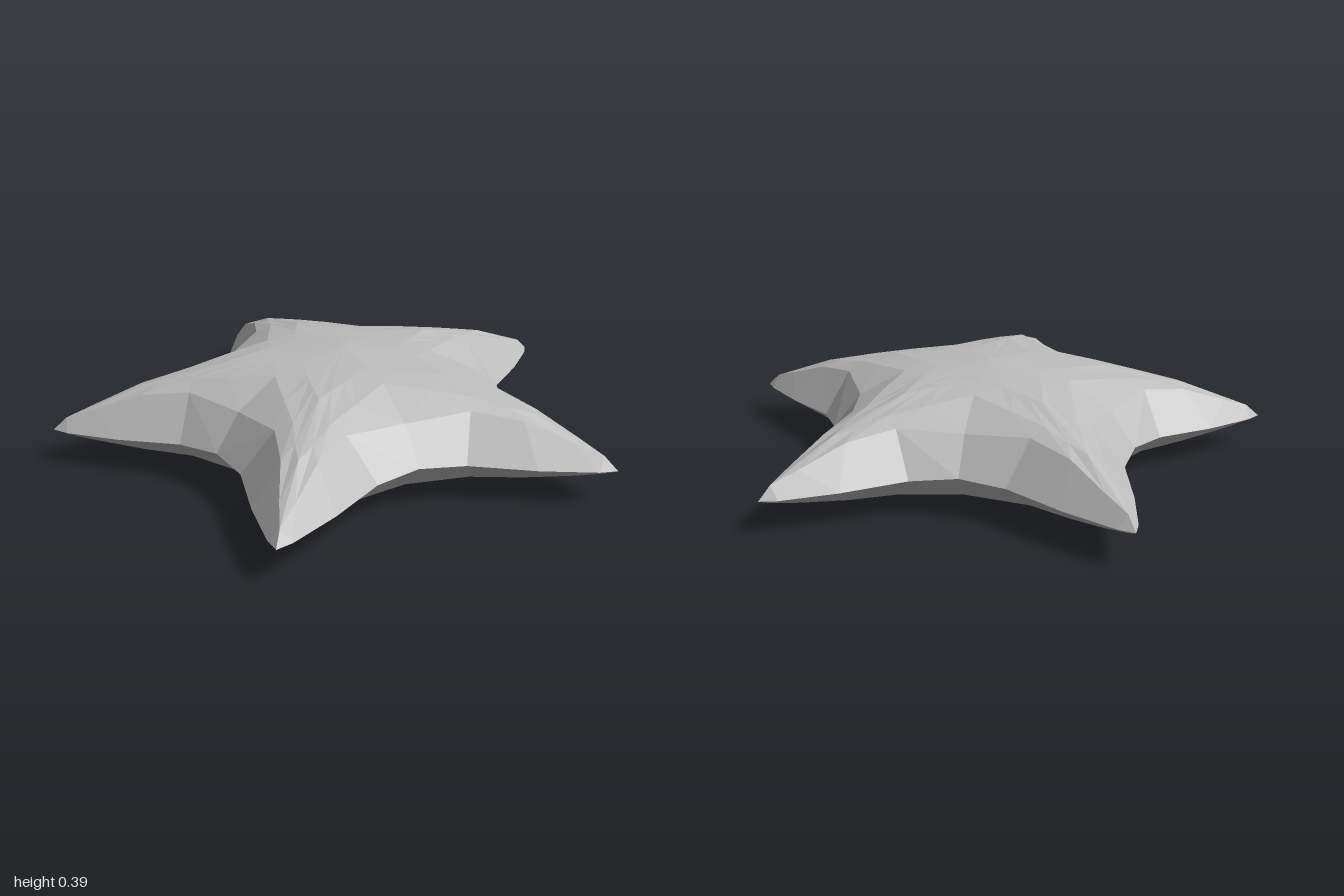
import * as THREE from 'three';

const CENTRE_Z = 0.09;

// Rings from rim to middle, over half an arm (ridge to valley).
// Each point: [along arm, sideways, upper height, lower height]
const RINGS = [
  [[1.05, 0, 0.12, 0.12], [1.0, 0.04, 0.12, 0.12], [0.82, 0.135, 0.125, 0.125], [0.6, 0.23, 0.135, 0.135], [0.477, 0.347, 0.145, 0.145]],
  [[1.0, 0, 0.165, 0.1], [0.9, 0.025, 0.2, 0.08], [0.73, 0.06, 0.26, 0.05], [0.56, 0.12, 0.285, 0.04], [0.396, 0.288, 0.27, 0.045]],
  [[0.74, 0, 0.27, 0.04], [0.66, 0.03, 0.287, 0.03], [0.55, 0.06, 0.312, 0.02], [0.42, 0.12, 0.333, 0.015], [0.26, 0.19, 0.355, 0.02]],
  [[0.42, 0, 0.35, 0], [0.36, 0.03, 0.357, 0.005], [0.3, 0.06, 0.362, 0.01], [0.25, 0.08, 0.366, 0.01], [0.16, 0.117, 0.373, 0.012]],
];
const ARMS = 5, STEPS = 8, COUNT = ARMS * STEPS;

// One skin of the star: heightIndex 2 is the upper side, 3 the underside
function starSkin(heightIndex, centreY) {
  const positions = [], index = [];
  for (const ring of RINGS) {
    for (let k = 0; k < COUNT; k++) {
      const j = k % STEPS, mirrored = j > 4;
      const p = ring[mirrored ? STEPS - j : j];
      const angle = (Math.floor(k / STEPS) + (mirrored ? 1 : 0)) * Math.PI * 2 / ARMS;
      const a = p[0], b = mirrored ? -p[1] : p[1];
      positions.push(
        Math.sin(angle) * a + Math.cos(angle) * b,
        p[heightIndex],
        CENTRE_Z - Math.cos(angle) * a + Math.sin(angle) * b
      );
    }
  }
  const centre = positions.length / 3;
  positions.push(0, centreY, CENTRE_Z);

  const up = heightIndex === 2;
  const tri = (a, b, c) => (up ? index.push(a, b, c) : index.push(a, c, b));
  for (let r = 0; r < RINGS.length; r++) {
    for (let k = 0; k < COUNT; k++) {
      const n = (k + 1) % COUNT;
      const o0 = r * COUNT + k, o1 = r * COUNT + n;
      if (r === RINGS.length - 1) {
        tri(centre, o1, o0);
        continue;
      }
      const i0 = o0 + COUNT, i1 = o1 + COUNT;
      // mirror the diagonal on the two halves of each arm
      if (k % STEPS < 4) { tri(o1, o0, i0); tri(o1, i0, i1); }
      else { tri(o1, o0, i1); tri(o0, i0, i1); }
    }
  }
  const geometry = new THREE.BufferGeometry();
  geometry.setAttribute('position', new THREE.Float32BufferAttribute(positions, 3));
  geometry.setIndex(index);
  // separate the faces so every facet is flat
  const faceted = geometry.toNonIndexed();
  faceted.computeVertexNormals();
  return faceted;
}

export function createModel() {
  const group = new THREE.Group();
  group.name = 'starfish';
  const grey = new THREE.MeshStandardMaterial({ color: 0xbcbcbc, flatShading: true });
  grey.name = 'stone grey';

  const upper = new THREE.Mesh(starSkin(2, 0.39), grey);
  upper.name = 'upperBody';
  const lower = new THREE.Mesh(starSkin(3, 0.02), grey);
  lower.name = 'underside';
  group.add(upper, lower);
  return group;
}
